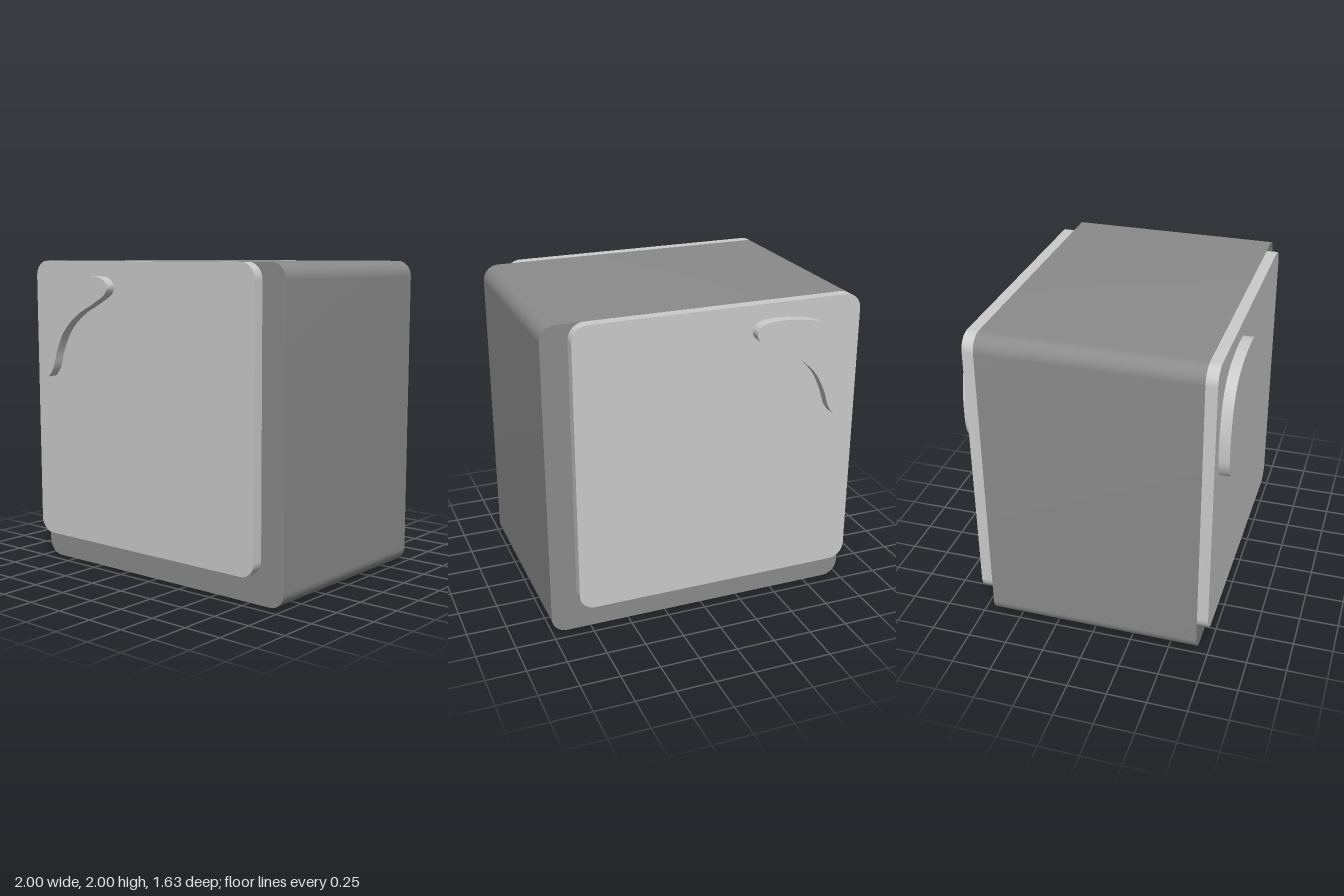
import * as THREE from 'three';
import { toCreasedNormals } from 'three/addons/utils/BufferGeometryUtils.js';

const darkGrey = new THREE.MeshStandardMaterial({ color: 0x8b8b8b });
const lightGrey = new THREE.MeshStandardMaterial({ color: 0xcccccc });

// Rounded rectangle between two corners
function roundedRect(x0, y0, x1, y1, r) {
  const s = new THREE.Shape();
  s.absarc(x1 - r, y0 + r, r, -Math.PI / 2, 0);
  s.absarc(x1 - r, y1 - r, r, 0, Math.PI / 2);
  s.absarc(x0 + r, y1 - r, r, Math.PI / 2, Math.PI);
  s.absarc(x0 + r, y0 + r, r, Math.PI, Math.PI * 1.5);
  s.closePath();
  return s;
}

// Flat slab of a shape from z0 to z1, smooth round the outline with sharp rims
function slab(name, shape, z0, z1, material) {
  const geo = new THREE.ExtrudeGeometry(shape, { depth: z1 - z0, bevelEnabled: false, curveSegments: 12 });
  geo.translate(0, 0, z0);
  const mesh = new THREE.Mesh(toCreasedNormals(geo, 0.6), material);
  mesh.name = name;
  return mesh;
}

export function createModel() {
  const model = new THREE.Group();
  model.name = 'roundedBlock';

  const bodyZ = 0.677, panelZ = 0.747, accentZ = 0.813;

  // Main block
  model.add(slab('body', roundedRect(-1, 0, 1, 2, 0.1), -bodyZ, bodyZ, darkGrey));

  // Curved corner accent outline
  const outline = new THREE.CatmullRomCurve3([
    [-0.28, 1.845], [-0.294, 1.80], [-0.39, 1.74], [-0.55, 1.658], [-0.674, 1.55],
    [-0.743, 1.424], [-0.79, 1.295], [-0.845, 1.246], [-0.893, 1.317], [-0.905, 1.45],
    [-0.897, 1.575], [-0.856, 1.725], [-0.79, 1.815], [-0.685, 1.873], [-0.46, 1.906], [-0.315, 1.89],
  ].map(([x, y]) => new THREE.Vector3(x, y, 0)), true);
  const accentShape = new THREE.Shape(outline.getPoints(80).slice(0, -1).map(p => new THREE.Vector2(p.x, p.y)));

  // Raised panel and accent on the front and back
  const panelShape = roundedRect(-1, 0.17, 0.835, 2, 0.1);
  for (const [side, sign] of [['front', 1], ['back', -1]]) {
    const span = (a, b) => (sign > 0 ? [a, b] : [-b, -a]);
    model.add(slab(side + 'Panel', panelShape, ...span(bodyZ, panelZ), lightGrey));
    model.add(slab(side + 'Accent', accentShape, ...span(panelZ, accentZ), lightGrey));
  }
  return model;
}
